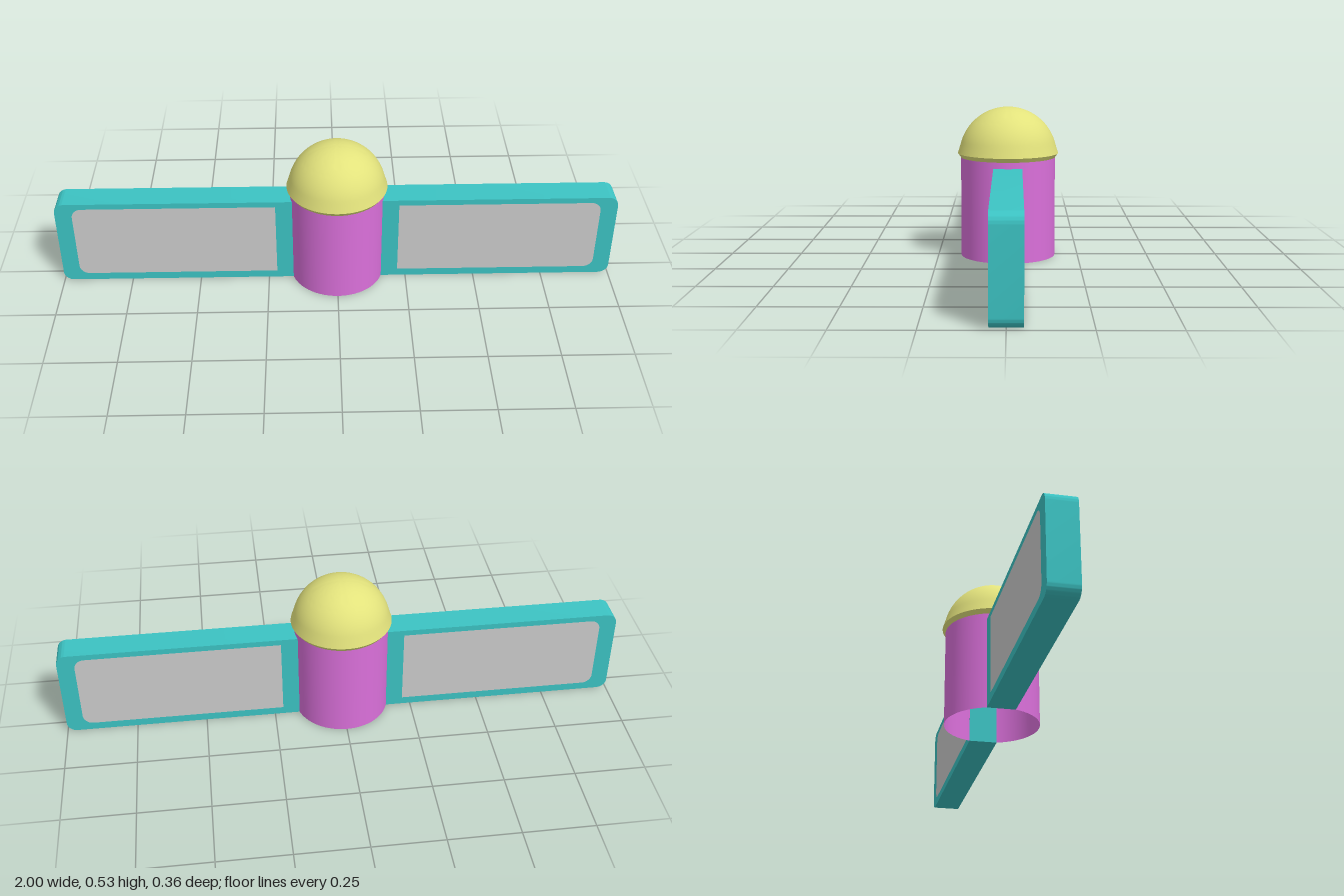
import * as THREE from 'three';
import { toCreasedNormals } from 'three/addons/utils/BufferGeometryUtils.js';

const paint = (color) => new THREE.MeshStandardMaterial({ color });
const H = 0.333; // wing height
const T = 0.1; // wing thickness

// Rectangle with a square inner edge and rounded outer corners
function wingOutline(Path, x0, x1, y0, y1, r) {
  const p = new Path();
  p.moveTo(x0, y0);
  p.lineTo(x1 - r, y0);
  p.absarc(x1 - r, y0 + r, r, -Math.PI / 2, 0, false);
  p.lineTo(x1, y1 - r);
  p.absarc(x1 - r, y1 - r, r, 0, Math.PI / 2, false);
  p.lineTo(x0, y1);
  p.closePath();
  return p;
}

function slab(shape) {
  const g = new THREE.ExtrudeGeometry(shape, { depth: T, bevelEnabled: false, curveSegments: 8 });
  g.translate(0, 0, -T / 2);
  return toCreasedNormals(g, 0.6);
}

function createWing(name) {
  const wing = new THREE.Group();
  wing.name = name;

  // Frame around the panel opening
  const inner = [0.22, 0.94, 0.028, 0.312, 0.035];
  const outline = wingOutline(THREE.Shape, 0.16, 1, 0, H, 0.035);
  outline.holes.push(wingOutline(THREE.Path, ...inner));
  const frame = new THREE.Mesh(slab(outline), paint(0x3cc3c3));
  frame.name = name + 'Frame';

  // Flush grey panel, visible from both sides
  const panel = new THREE.Mesh(slab(wingOutline(THREE.Shape, ...inner)), paint(0xcccccc));
  panel.name = name + 'Panel';

  wing.add(frame, panel);
  return wing;
}

export function createModel() {
  const model = new THREE.Group();
  model.name = 'domedPostWithWings';

  // Open central tube
  const tubeMaterial = paint(0xda70da);
  tubeMaterial.side = THREE.DoubleSide;
  const tube = new THREE.Mesh(
    new THREE.CylinderGeometry(0.168, 0.168, 0.357, 64, 1, true), tubeMaterial);
  tube.position.y = 0.357 / 2;
  tube.name = 'centralTube';
  model.add(tube);

  // Dome with a small flared rim
  const profile = [new THREE.Vector2(0.168, 0.355), new THREE.Vector2(0.179, 0.37)];
  const start = 0.24;
  for (let i = 0; i <= 20; i++) {
    const a = start + (Math.PI / 2 - start) * (i / 20);
    profile.push(new THREE.Vector2(
      i === 20 ? 0 : 0.174 * Math.cos(a), 0.361 + 0.173 * Math.sin(a)));
  }
  const domeMaterial = paint(0xe2e27c);
  domeMaterial.side = THREE.DoubleSide;
  const dome = new THREE.Mesh(
    toCreasedNormals(new THREE.LatheGeometry(profile, 64), 0.6), domeMaterial);
  dome.name = 'dome';
  model.add(dome);

  // Matching wings on both sides
  const left = createWing('leftWing');
  const right = createWing('rightWing');
  right.rotation.y = Math.PI;
  model.add(left, right);

  return model;
}
